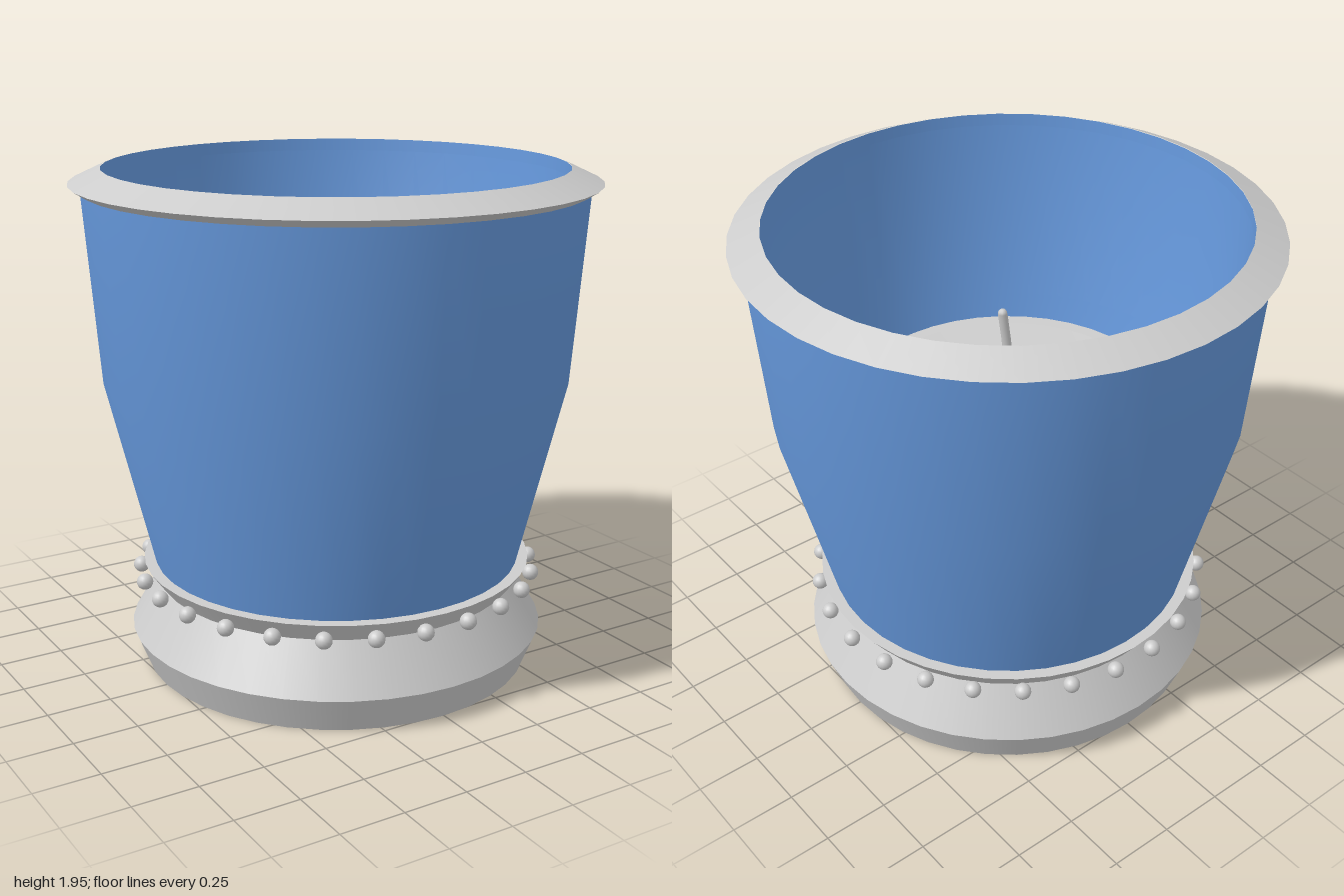
import * as THREE from 'three';
import { mergeGeometries } from 'three/addons/utils/BufferGeometryUtils.js';

const SIDES = 40;

// Each strip is a list of [radius, y]; strips shade smoothly inside and crease where they meet.
function turned(...strips) {
  return mergeGeometries(strips.map(
    s => new THREE.LatheGeometry(s.map(([r, y]) => new THREE.Vector2(r, y)), SIDES)));
}

// Splits a profile so that every corner is a crease.
const creased = pts => pts.slice(1).map((p, i) => [pts[i], p]);

export function createModel() {
  const group = new THREE.Group();
  const blue = new THREE.MeshStandardMaterial({ color: 0x6699dd });
  blue.name = 'blue glass';
  const silver = new THREE.MeshStandardMaterial({ color: 0xcccccc });
  silver.name = 'pale grey';

  const add = (name, geometry, material, parent = group) => {
    const mesh = new THREE.Mesh(geometry, material);
    mesh.name = name;
    parent.add(mesh);
    return mesh;
  };

  // Cup wall: outside going up, inside lip and inside going down
  add('cupWall', turned(
    [[0.72, 0.4], [0.9, 1.15], [0.955, 1.87]],
    [[0.878, 1.948], [0.876, 1.9]],
    [[0.876, 1.9], [0.82, 1.15], [0.63, 0.42]],
  ), blue);

  // Rim around the mouth
  add('rim', turned(...creased([[0.94, 1.865], [0.955, 1.865], [1, 1.893], [0.878, 1.95]])), silver);

  // Flared foot with a collar, and the cup floor
  add('base', turned(...creased([
    [0, 0], [0.765, 0], [0.82, 0.14], [0.71, 0.33], [0.767, 0.41], [0, 0.41],
  ])), silver);

  // Candle with a shallow melted dish in its top
  add('candle', turned(
    [[0.628, 0.41], [0.628, 1.15]],
    [[0.628, 1.15], [0.575, 1.15]],
    [[0.575, 1.15], [0.3, 1.13], [0, 1.12]],
  ), silver);

  // Slightly leaning wick
  const wickPath = new THREE.CatmullRomCurve3([
    new THREE.Vector3(0, 1.1, 0), new THREE.Vector3(0, 1.35, 0), new THREE.Vector3(0.025, 1.55, 0),
  ]);
  add('wick', new THREE.TubeGeometry(wickPath, 8, 0.018, 8), silver);
  const tip = add('wickTip', new THREE.SphereGeometry(0.018, 8, 6), silver);
  tip.position.set(0.025, 1.55, 0);

  // Ring of beads on the collar
  const beads = new THREE.Group();
  beads.name = 'beadRing';
  group.add(beads);
  const beadGeometry = new THREE.SphereGeometry(0.032, 16, 12);
  const count = 26;
  for (let i = 0; i < count; i++) {
    const a = (i / count) * Math.PI * 2;
    add('bead', beadGeometry, silver, beads).position.set(0.78 * Math.cos(a), 0.36, 0.78 * Math.sin(a));
  }

  return group;
}
